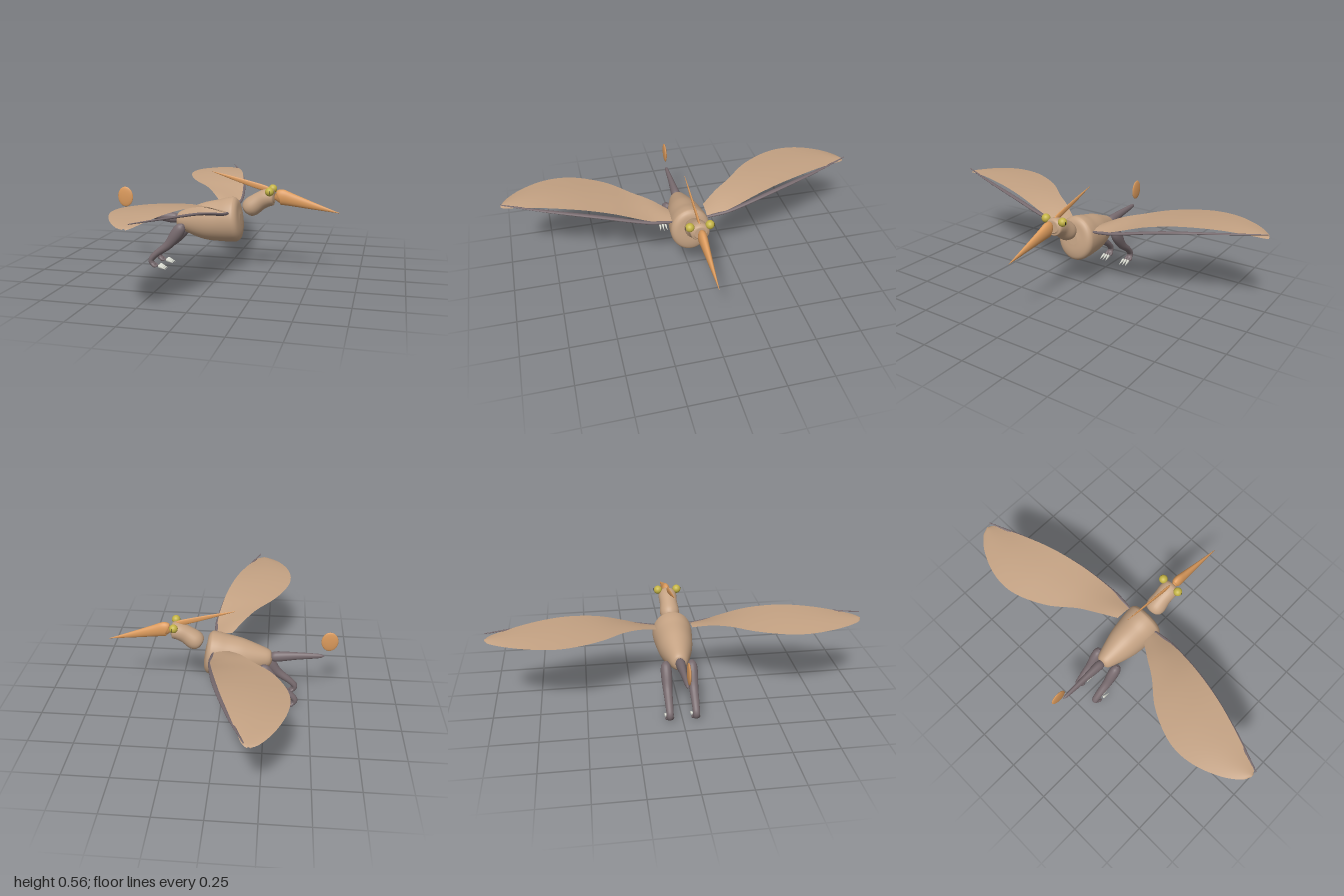
import * as THREE from 'three';

const paint = (name, color, side = THREE.FrontSide) => {
  const m = new THREE.MeshStandardMaterial({ color, side });
  m.name = name;
  return m;
};

// Smooth closed sweep through sections [x, y, z, radiusN, radiusB]; ref is the B direction.
function sweep(sections, ref = new THREE.Vector3(0, 0, 1), steps = 32, sides = 28) {
  const path = new THREE.CatmullRomCurve3(sections.map(s => new THREE.Vector3(s[0], s[1], s[2])), false, 'catmullrom');
  const radii = new THREE.CatmullRomCurve3(sections.map(s => new THREE.Vector3(s[3], s[4], 0)), false, 'catmullrom');
  const pos = [], index = [];
  const ring = t => {
    const c = path.getPoint(t), r = radii.getPoint(t), T = path.getTangent(t);
    const B = ref.clone().addScaledVector(T, -ref.dot(T)).normalize();
    const N = B.clone().cross(T);
    for (let j = 0; j < sides; j++) {
      const a = j / sides * Math.PI * 2;
      const p = c.clone().addScaledVector(N, Math.cos(a) * Math.max(r.x, 0.0005))
        .addScaledVector(B, Math.sin(a) * Math.max(r.y, 0.0005));
      pos.push(p.x, p.y, p.z);
    }
    return c;
  };
  for (let i = 0; i <= steps; i++) ring(i / steps);
  for (let i = 0; i < steps; i++) for (let j = 0; j < sides; j++) {
    const k = (j + 1) % sides, a = i * sides + j, b = i * sides + k;
    index.push(a, b, a + sides, b, b + sides, a + sides);
  }
  // flat end caps with their own vertices
  for (const t of [0, 1]) {
    const base = pos.length / 3, c = ring(t), mid = base + sides;
    pos.push(c.x, c.y, c.z);
    for (let j = 0; j < sides; j++) {
      const a = base + j, b = base + (j + 1) % sides;
      t ? index.push(mid, a, b) : index.push(mid, b, a);
    }
  }
  const g = new THREE.BufferGeometry();
  g.setAttribute('position', new THREE.Float32BufferAttribute(pos, 3));
  g.setIndex(index);
  g.computeVertexNormals();
  return g;
}

// Thin skin stretched between a leading and a trailing curve.
function skin(lead, trail, nu = 40, nv = 10) {
  const curve = pts => new THREE.CatmullRomCurve3(pts.map(p => new THREE.Vector3(...p)), false, 'catmullrom');
  const A = curve(lead), B = curve(trail), pos = [], index = [];
  for (let i = 0; i <= nu; i++) for (let j = 0; j <= nv; j++) {
    const v = j / nv, p = A.getPoint(i / nu).lerp(B.getPoint(i / nu), v);
    pos.push(p.x, p.y + 0.006 * Math.sin(Math.PI * v), p.z);
    if (i < nu && j < nv) {
      const a = i * (nv + 1) + j, b = a + nv + 1;
      index.push(a, a + 1, b, a + 1, b + 1, b);
    }
  }
  const g = new THREE.BufferGeometry();
  g.setAttribute('position', new THREE.Float32BufferAttribute(pos, 3));
  g.setIndex(index);
  g.computeVertexNormals();
  return g;
}

export function createModel() {
  const tan = paint('tan hide', 0xc4a283);
  const tanSkin = paint('tan wing skin', 0xc4a283, THREE.DoubleSide);
  const grey = paint('purple grey', 0x776a6e);
  const orange = paint('orange horn', 0xdb9a5c);
  const yellow = paint('yellow eye', 0xc4b446);
  const dark = paint('dark pupil', 0x2a2618);
  const white = paint('pale claw', 0xd8dad0);

  const model = new THREE.Group();
  const add = (name, geometry, material, parent = model) => {
    const m = new THREE.Mesh(geometry, material);
    m.name = name;
    parent.add(m);
    return m;
  };

  // torso, widest at the chest
  add('body', sweep([
    [-0.28, 0.28, 0, 0.022, 0.02], [-0.268, 0.28, 0, 0.045, 0.04], [-0.23, 0.28, 0, 0.064, 0.057],
    [-0.12, 0.282, 0, 0.104, 0.09], [-0.02, 0.29, 0, 0.119, 0.105], [0.04, 0.298, 0, 0.126, 0.11],
    [0.07, 0.301, 0, 0.122, 0.106], [0.088, 0.303, 0, 0.095, 0.083], [0.095, 0.304, 0, 0.03, 0.03],
  ], undefined, 56, 40), tan);

  // short neck running into the head
  add('neckAndHead', sweep([
    [0.12, 0.352, 0, 0.025, 0.03], [0.13, 0.36, 0, 0.044, 0.047], [0.155, 0.378, 0, 0.054, 0.055],
    [0.2, 0.41, 0, 0.05, 0.05], [0.24, 0.43, 0, 0.05, 0.052], [0.27, 0.436, 0, 0.047, 0.05],
    [0.281, 0.437, 0, 0.03, 0.034],
  ]), tan);

  // beak and swept-back crest
  add('beak', sweep([
    [0.28, 0.428, 0, 0.006, 0.004], [0.3, 0.434, 0, 0.03, 0.018], [0.32, 0.437, 0, 0.043, 0.024],
    [0.38, 0.423, 0, 0.035, 0.02], [0.5, 0.394, 0, 0.019, 0.011], [0.637, 0.362, 0, 0.001, 0.001],
  ]), orange);
  add('crest', sweep([
    [0.255, 0.472, 0, 0.012, 0.005], [0.23, 0.481, 0, 0.016, 0.006], [0.15, 0.503, 0, 0.015, 0.005],
    [0.03, 0.537, 0, 0.009, 0.004], [-0.072, 0.565, 0, 0.001, 0.001],
  ]), orange);

  // tail with a separate flat disc behind it
  add('tail', sweep([
    [-0.27, 0.288, 0, 0.01, 0.01], [-0.285, 0.289, 0, 0.026, 0.023], [-0.32, 0.292, 0, 0.03, 0.025],
    [-0.42, 0.3, 0, 0.022, 0.017], [-0.54, 0.306, 0, 0.013, 0.01], [-0.57, 0.307, 0, 0.001, 0.001],
  ]), grey);
  const disc = add('tailDisc', new THREE.SphereGeometry(1, 28, 18), orange);
  disc.scale.set(0.046, 0.058, 0.009);
  disc.position.set(-0.593, 0.4, 0);

  for (const s of [1, -1]) {
    const side = s > 0 ? 'right' : 'left';
    const group = kind => {
      const g = new THREE.Group();
      g.name = side + kind;
      model.add(g);
      return g;
    };

    // eye
    const eye = group('Eye');
    eye.position.set(0.262, 0.472, s * 0.054);
    add('eyeball', new THREE.SphereGeometry(0.024, 24, 18), yellow, eye);
    const pupil = add('pupil', new THREE.SphereGeometry(1, 12, 8), dark, eye);
    pupil.scale.set(0.0022, 0.01, 0.003);
    pupil.position.set(0.006, 0, s * 0.0222);

    // wing: skin behind a slender arm
    const wing = group('Wing');
    const flip = pts => pts.map(([x, y, z, ...r]) => [x, y, z * s, ...r]);
    add('wingSkin', skin(
      flip([[0.05, 0.353, 0.1], [0.045, 0.372, 0.19], [0.04, 0.398, 0.27], [0.018, 0.44, 0.4],
        [-0.012, 0.465, 0.53], [-0.045, 0.475, 0.65], [-0.09, 0.474, 0.78], [-0.135, 0.463, 0.9],
        [-0.165, 0.452, 0.975], [-0.19, 0.444, 0.998]]),
      flip([[-0.05, 0.373, 0.1], [-0.115, 0.41, 0.19], [-0.18, 0.43, 0.285], [-0.28, 0.445, 0.4],
        [-0.35, 0.455, 0.535], [-0.375, 0.461, 0.65], [-0.36, 0.464, 0.77], [-0.31, 0.459, 0.89],
        [-0.25, 0.45, 0.97], [-0.205, 0.445, 0.998]])), tanSkin, wing);
    add('wingArm', sweep(flip([
      [0.04, 0.352, 0.09, 0.004, 0.006], [0.043, 0.358, 0.14, 0.008, 0.01], [0.04, 0.376, 0.25, 0.008, 0.013],
      [-0.005, 0.426, 0.5, 0.007, 0.014], [-0.09, 0.455, 0.78, 0.005, 0.01], [-0.175, 0.472, 0.998, 0.002, 0.003],
    ]), new THREE.Vector3(1, 0, 0), 32, 14), grey, wing);

    // hind leg
    const leg = group('Leg'), z = s * 0.07;
    add('limb', sweep([
      [-0.225, 0.268, z, 0.01, 0.01], [-0.238, 0.25, z, 0.03, 0.026], [-0.265, 0.21, z, 0.036, 0.03],
      [-0.315, 0.145, z, 0.026, 0.025], [-0.38, 0.095, z, 0.019, 0.021], [-0.416, 0.058, z, 0.017, 0.019],
      [-0.414, 0.034, z, 0.015, 0.018], [-0.398, 0.022, z, 0.011, 0.016], [-0.39, 0.019, z, 0.004, 0.006],
    ], undefined, 40, 20), grey, leg);

    // three toes, each with a claw set ahead of it
    for (const k of [-1, 0, 1]) {
      const d = k * 0.017;
      add('toe', sweep([
        [-0.415, 0.036, z + d * 0.5, 0.008, 0.008], [-0.398, 0.021, z + d * 0.9, 0.01, 0.009],
        [-0.38, 0.017, z + d, 0.002, 0.002],
      ], undefined, 10, 12), grey, leg);
      add('claw', sweep([
        [-0.373, 0.023, z + d, 0.002, 0.002], [-0.364, 0.02, z + d, 0.01, 0.007],
        [-0.324, 0.004, z + d * 1.2, 0.0005, 0.0005],
      ], undefined, 10, 12), white, leg);
    }
  }
  return model;
}
